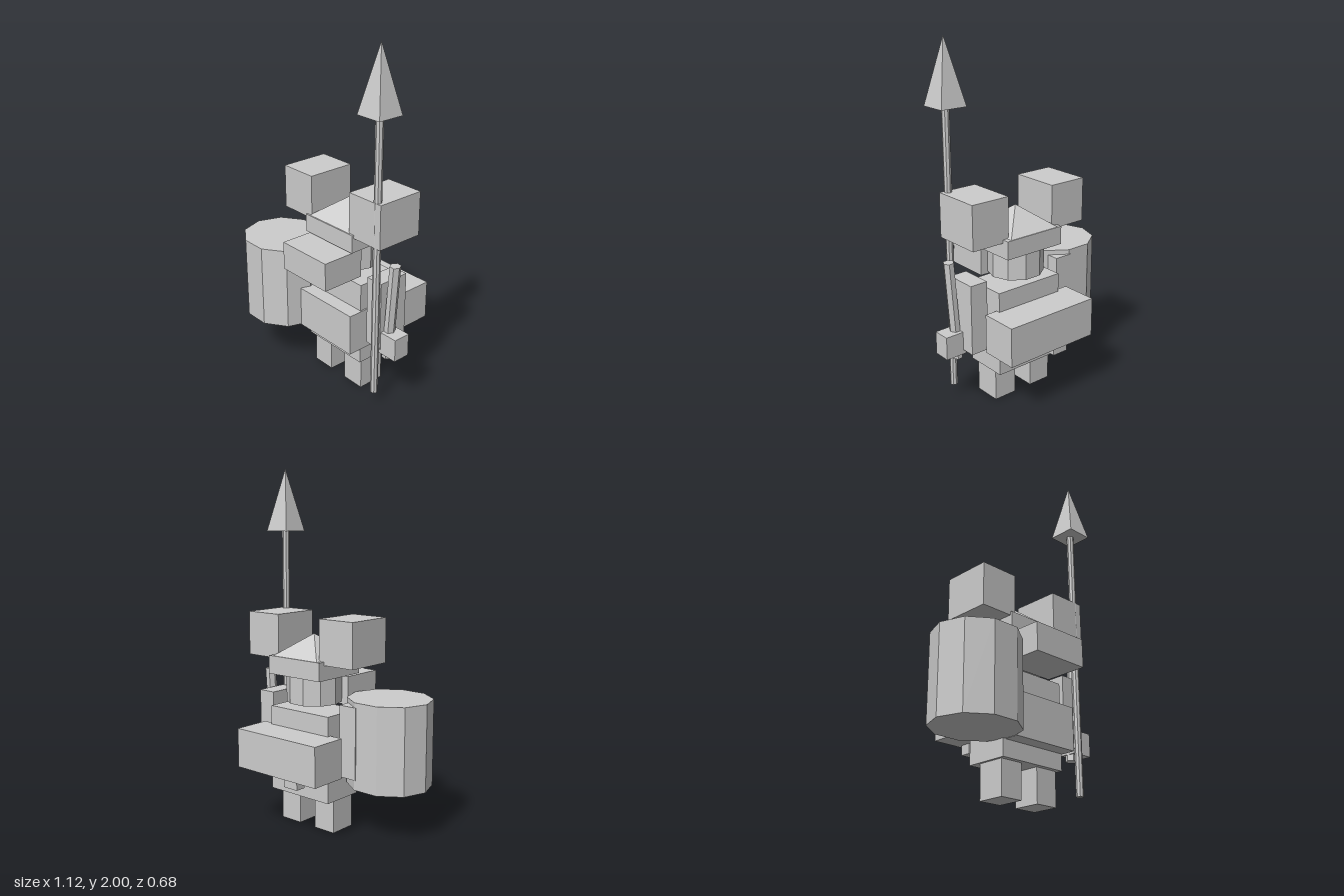
import * as THREE from 'three';

export function createModel() {
  const model = new THREE.Group();
  const grey = new THREE.MeshStandardMaterial({ color: 0xcccccc, flatShading: true });
  grey.name = 'light grey';

  const add = (name, geometry, x = 0, y = 0, z = 0) => {
    const mesh = new THREE.Mesh(geometry, grey);
    mesh.name = name;
    mesh.position.set(x, y, z);
    model.add(mesh);
    return mesh;
  };
  // box given by its limits on each axis
  const box = (name, x0, x1, y0, y1, z0, z1) =>
    add(name, new THREE.BoxGeometry(x1 - x0, y1 - y0, z1 - z0),
      (x0 + x1) / 2, (y0 + y1) / 2, (z0 + z1) / 2);
  // upright prism with a corner on the x axis
  const prism = (name, sides, rx, rz, y0, y1, x, z) =>
    add(name, new THREE.CylinderGeometry(1, 1, y1 - y0, sides).rotateY(Math.PI / 2).scale(rx, 1, rz),
      x, (y0 + y1) / 2, z);
  // square pyramid aligned with the axes
  const pyramid = (name, half, y0, y1, x, z) =>
    add(name, new THREE.ConeGeometry(half * Math.SQRT2, y1 - y0, 4).rotateY(Math.PI / 4),
      x, (y0 + y1) / 2, z);

  // body
  box('torso', -0.115, 0.307, 0.19, 0.675, -0.15, 0.1);
  box('bellyPlate', -0.1, 0.315, 0.282, 0.52, 0, 0.183);
  box('rightLeg', -0.1, 0.037, 0, 0.19, -0.085, 0.072);
  box('leftLeg', 0.148, 0.287, 0, 0.19, -0.085, 0.072);
  box('rightArm', -0.26, -0.15, 0.34, 0.738, -0.095, 0.09);
  box('leftArm', 0.345, 0.45, 0.34, 0.738, -0.095, 0.09);
  box('leftHand', 0.43, 0.558, 0.315, 0.445, -0.015, 0.085);

  // head and hat
  prism('head', 10, 0.157, 0.153, 0.715, 0.872, 0.092, -0.026);
  box('snout', -0.08, 0.265, 0.7, 0.86, 0.06, 0.313);
  box('hatBrim', -0.092, 0.28, 0.87, 0.972, -0.192, 0.142);
  pyramid('hatTop', 0.161, 0.972, 1.095, 0.092, -0.026);
  box('rightEar', -0.285, -0.057, 0.953, 1.2, -0.153, 0.13);
  box('leftEar', 0.243, 0.473, 0.953, 1.2, -0.153, 0.13);

  // pack with a small peg below
  box('backpack', -0.193, 0.381, 0.345, 0.567, -0.342, -0.127);
  box('packPeg', -0.035, 0.06, 0.29, 0.35, -0.31, -0.25);

  // drum carried on the right side
  prism('drum', 10, 0.24, 0.226, 0.284, 0.765, -0.323, 0.125);

  // spear
  prism('spearShaft', 8, 0.021, 0.021, 0.072, 1.65, 0.432, 0.11);
  pyramid('spearTip', 0.077, 1.648, 2, 0.432, 0.11);

  // short leaning rod held in the hand
  const rod = prism('rod', 6, 0.029, 0.033, 0.278, 0.845, 0.475, 0.036);
  rod.rotation.z = -0.07;

  return model;
}
